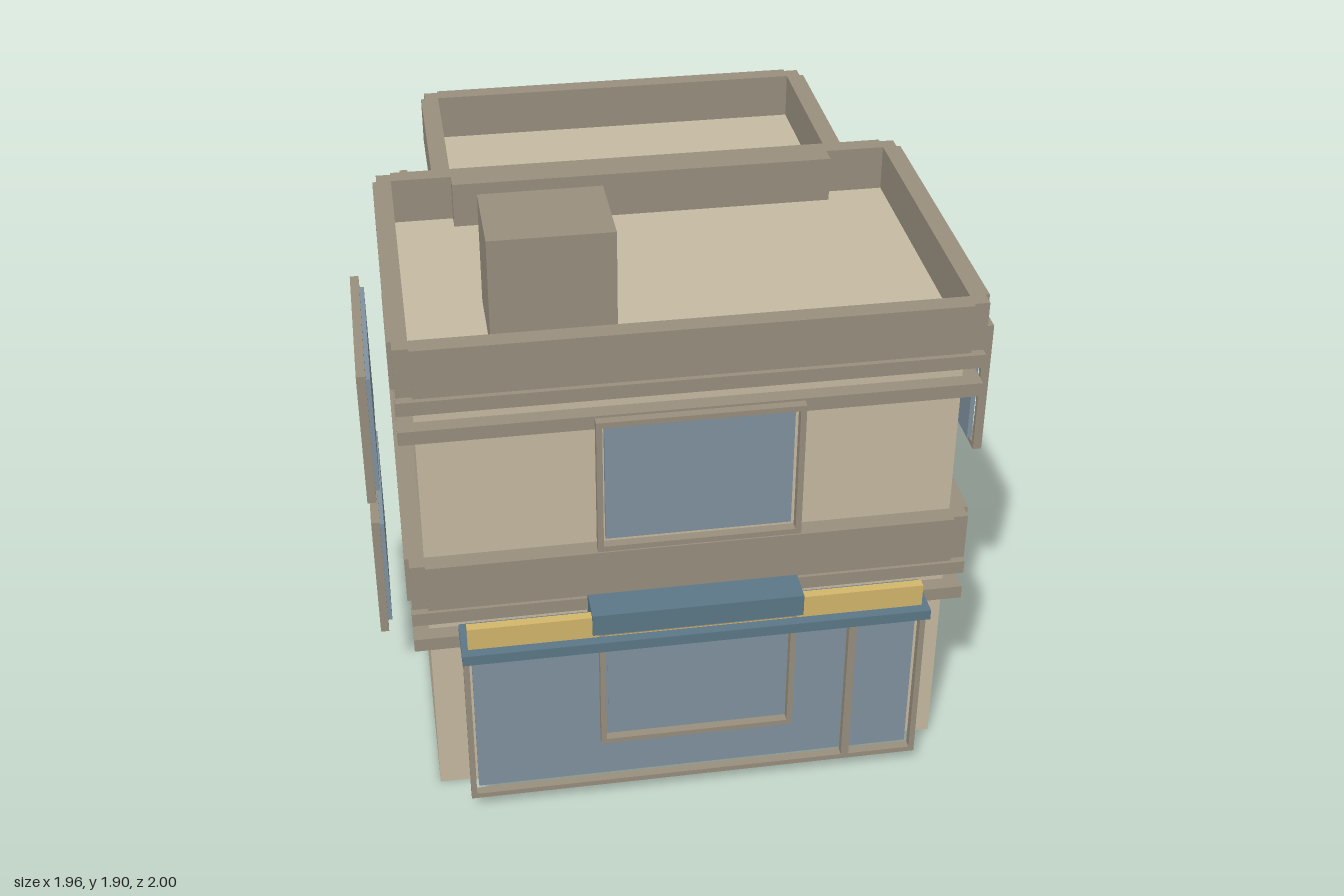
import * as THREE from 'three';

const mat = (color) => new THREE.MeshStandardMaterial({ color });

export function createModel() {
  const wall = mat(0xc6baa2), trim = mat(0x998f7e), glass = mat(0x80929e);
  const blue = mat(0x5c7888), yellow = mat(0xd4b76c);
  const model = new THREE.Group();
  model.name = 'building';

  // Box given by its extents on each axis
  function box(name, material, x0, x1, y0, y1, z0, z1, parent = model) {
    const mesh = new THREE.Mesh(new THREE.BoxGeometry(x1 - x0, y1 - y0, z1 - z0), material);
    mesh.position.set((x0 + x1) / 2, (y0 + y1) / 2, (z0 + z1) / 2);
    mesh.name = name;
    parent.add(mesh);
    return mesh;
  }

  // Wall blocks: ground floor, upper front, narrower upper back
  const FRONT = 0.81, STEP = -0.21, BACK = -0.84;
  const blocks = [
    { name: 'groundFloor', hx: 0.825, y0: 0, y1: 0.77, z0: BACK, z1: FRONT, corners: [-1, 1] },
    { name: 'upperFront', hx: 0.825, y0: 0.77, y1: 1.54, z0: STEP, z1: FRONT, corners: [-1, 1] },
    { name: 'upperBack', hx: 0.63, y0: 0.77, y1: 1.54, z0: BACK, z1: STEP, corners: [-1] },
  ];
  for (const { name, hx, y0, y1, z0, z1, corners } of blocks) {
    box(name + 'Walls', wall, -hx, hx, y0, y1, z0, z1);

    // Two ledge bands under the roof edge
    for (const [a, b] of [[0.17, 0.125], [0.07, 0.025]]) {
      box(name + 'Band', trim, -hx - 0.05, hx + 0.05, y1 - a, y1 - b, z0 - 0.05, z1 + 0.05);
    }

    // Parapet: four strips with slightly thinner corner posts
    const parapet = new THREE.Group();
    parapet.name = name + 'Parapet';
    const p0 = y1 - 0.008, p1 = y1 + 0.152, t = 0.06, c = 0.047;
    // The upper floor's strips stand on the roof edge; the ground floor has an open terrace behind
    box('frontStrip', trim, -hx, hx, p0, p1, z1, z1 + t, parapet);
    box('backStrip', trim, -hx, hx, p0, p1, z0 - t, z0, parapet);
    for (const s of [-1, 1]) {
      const span = (w) => [Math.min(s * hx, s * (hx + w)), Math.max(s * hx, s * (hx + w))];
      box('sideStrip', trim, ...span(t), p0, p1, z0, z1, parapet);
      for (const e of corners) {
        const [a, b] = e > 0 ? [z1, z1 + c] : [z0 - c, z0];
        box('cornerPost', trim, ...span(c), p0, p1, a, b, parapet);
      }
    }
    model.add(parapet);
  }

  box('chimney', trim, -0.58, -0.2, 1.54, 1.905, 0.35, 0.65);

  // Rectangular frame, centred, back face at z = 0
  function frameGeometry(w, h, bar, depth) {
    const rect = (path, a, b) => path.moveTo(-a, -b).lineTo(a, -b).lineTo(a, b).lineTo(-a, b).closePath();
    const shape = rect(new THREE.Shape(), w / 2, h / 2);
    shape.holes.push(rect(new THREE.Path(), w / 2 - bar, h / 2 - bar));
    return new THREE.ExtrudeGeometry(shape, { depth, bevelEnabled: false });
  }

  // Framed pane standing clear of the wall; turned about y to face outward
  function addWindow(name, w, h, x, y, z, turn) {
    const group = new THREE.Group();
    group.name = name;
    const frame = new THREE.Mesh(frameGeometry(w, h, 0.018, 0.028), trim);
    frame.name = 'frame';
    group.add(frame);
    const gx = w / 2 - 0.027, gy = h / 2 - 0.027;
    box('pane', glass, -gx, gx, -gy, gy, -0.014, 0.001, group);
    group.position.set(x, y, z);
    group.rotation.y = turn;
    model.add(group);
    return group;
  }

  const LOW = 0.467, HIGH = 1.23, H = 0.46;
  addWindow('frontUpperWindow', 0.62, H, 0, HIGH, 0.939, 0);
  addWindow('frontLowerWindow', 0.62, H, 0, LOW, 0.941, 0);
  addWindow('backUpperWindow', 0.62, H, 0, HIGH, -0.972, Math.PI);
  addWindow('backLowerWindow', 0.62, H, 0, LOW, -0.972, Math.PI);
  for (const s of [-1, 1]) {
    const side = s > 0 ? 'left' : 'right', turn = s * Math.PI / 2;
    addWindow(side + 'UpperWindow', 0.62, H, s * 0.954, HIGH, 0.3, turn);
    addWindow(side + 'LowerWindow', 0.62, H, s * 0.954, LOW, -0.012, turn);
    addWindow(side + 'RearWindow', 0.46, H, s * 0.758, HIGH, -0.53, turn);
  }

  // Shopfront with a mullion beside the door
  const shop = addWindow('shopfront', 1.46, 0.61, -0.002, 0.365, 0.939, 0);
  box('doorMullion', trim, 0.483, 0.508, -0.29, 0.29, 0, 0.028, shop);

  // Canopy with sign board above it
  box('canopy', blue, -0.735, 0.732, 0.64, 0.675, 0.84, 1.0);
  box('signBoard', yellow, -0.715, 0.71, 0.675, 0.752, 0.938, 0.968);
  box('signCentre', blue, -0.332, 0.328, 0.69, 0.765, 0.81, 0.978);

  return model;
}
